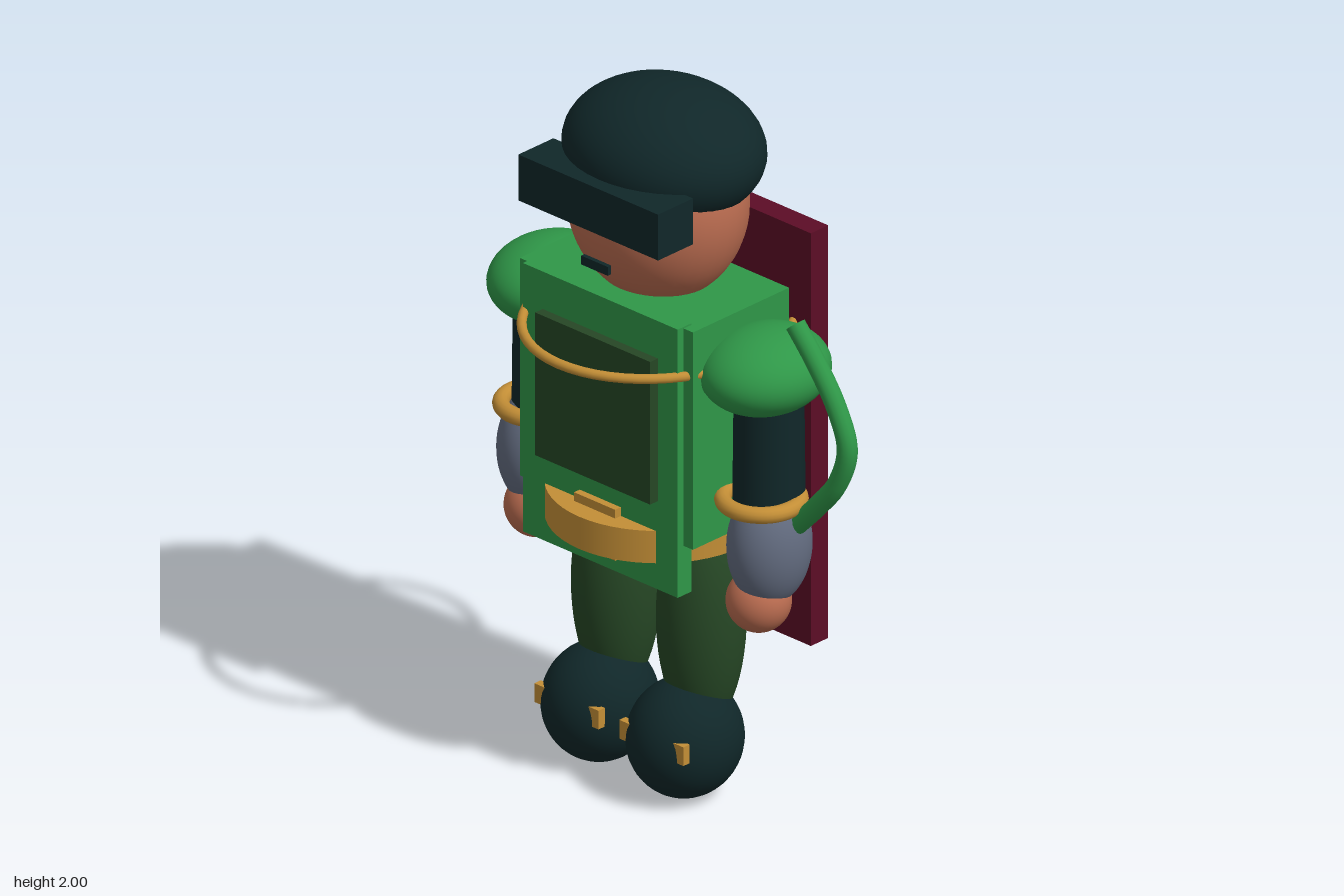
import * as THREE from 'three';

const mat = (name, color, extra = {}) => {
  const m = new THREE.MeshStandardMaterial({ color, ...extra });
  m.name = name;
  return m;
};

export function createModel() {
  const green = mat('green', 0x2f9748);
  const hoseGreen = mat('hose green', 0x2f9748, { side: THREE.DoubleSide });
  const darkGreen = mat('dark green', 0x264725);
  const dark = mat('dark teal', 0x102729);
  const gold = mat('gold', 0xc38e36);
  const skin = mat('skin', 0xba6c50);
  const grey = mat('slate grey', 0x636c80);
  const maroon = mat('maroon', 0x5c0d26);
  const blue = mat('eye blue', 0x2c4052);

  const root = new THREE.Group();
  root.name = 'figure';
  // The figure stands slightly to the right so that the hose balances the width
  const body = new THREE.Group();
  body.name = 'body';
  body.position.x = -0.084;
  root.add(body);

  const add = (name, geo, material, x, y, z) => {
    const m = new THREE.Mesh(geo, material);
    m.name = name;
    m.position.set(x, y, z);
    body.add(m);
    return m;
  };
  const box = (name, material, w, h, d, x, y, z) =>
    add(name, new THREE.BoxGeometry(w, h, d), material, x, y, z);
  const ball = (name, material, rx, ry, rz, x, y, z) =>
    add(name, new THREE.SphereGeometry(1, 40, 28).scale(rx, ry, rz), material, x, y, z);
  const ring = (name, radius, tube, x, y, z) =>
    add(name, new THREE.TorusGeometry(radius, tube, 14, 56).rotateX(Math.PI / 2), gold, x, y, z);

  // Head
  ball('head', skin, 0.255, 0.28, 0.23, 0, 1.68, 0);
  ball('hat', dark, 0.29, 0.18, 0.25, 0, 1.82, -0.025);
  box('visor', dark, 0.51, 0.135, 0.133, 0, 1.743, 0.198);
  box('mouth', dark, 0.097, 0.026, 0.013, 0, 1.563, 0.234);

  // Torso and front panel
  box('torso', green, 0.632, 0.64, 0.365, 0, 1.14, 0.013);
  box('chestPanel', green, 0.565, 0.79, 0.053, 0, 1.07, 0.192);
  box('chestScreen', darkGreen, 0.42, 0.42, 0.035, 0, 1.145, 0.23);
  ball('hips', dark, 0.25, 0.15, 0.15, 0, 0.76, -0.01);

  // Belt and chest ring
  add('belt', new THREE.CylinderGeometry(0.3, 0.3, 0.095, 56), gold, 0, 0.797, -0.002);
  box('beltBuckle', gold, 0.15, 0.15, 0.05, 0, 0.795, 0.215);
  ring('chestRing', 0.365, 0.0135, 0, 1.323, -0.002).scale.set(0.94, 1, 1.035);

  // Back board, side pack and strap
  box('backBoard', maroon, 0.675, 1.215, 0.066, 0, 0.998, -0.263);
  box('sidePack', dark, 0.135, 0.56, 0.11, -0.323, 1.03, -0.185);
  box('packStrap', gold, 0.022, 0.36, 0.022, -0.308, 1.28, -0.173);

  // Paired parts
  for (const s of [-1, 1]) {
    ball('eye', blue, 0.03, 0.03, 0.02, s * 0.086, 1.688, 0.21);
    ball('shoulder', green, 0.165, 0.115, 0.188, s * 0.387, 1.307, -0.005);
    add('upperArm', new THREE.CylinderGeometry(0.093, 0.097, 0.38, 36), dark, s * 0.403, 1.1, -0.003);
    ball('forearm', grey, 0.106, 0.175, 0.122, s * 0.42, 0.81, 0.013);
    ring('cuff', 0.102, 0.023, s * 0.405, 0.943, 0.028);
    ball('hand', skin, 0.088, 0.088, 0.088, s * 0.405, 0.648, 0.038);
    ball('leg', darkGreen, 0.12, 0.33, 0.12, s * 0.155, 0.5, -0.004);
    ball('boot', dark, 0.154, 0.166, 0.162, s * 0.155, 0.166, 0.058);
    box('bootBuckle', gold, 0.234, 0.055, 0.024, s * 0.155, 0.192, 0.174);
  }

  // Hose on the left arm
  const path = new THREE.CatmullRomCurve3([
    [0.495, 1.472], [0.56, 1.398], [0.644, 1.28], [0.684, 1.17], [0.65, 1.06], [0.58, 0.97], [0.5, 0.885],
  ].map(([x, y]) => new THREE.Vector3(x, y, 0)));
  add('hose', new THREE.TubeGeometry(path, 40, 0.028, 14), hoseGreen, 0, 0, -0.008);

  return root;
}
